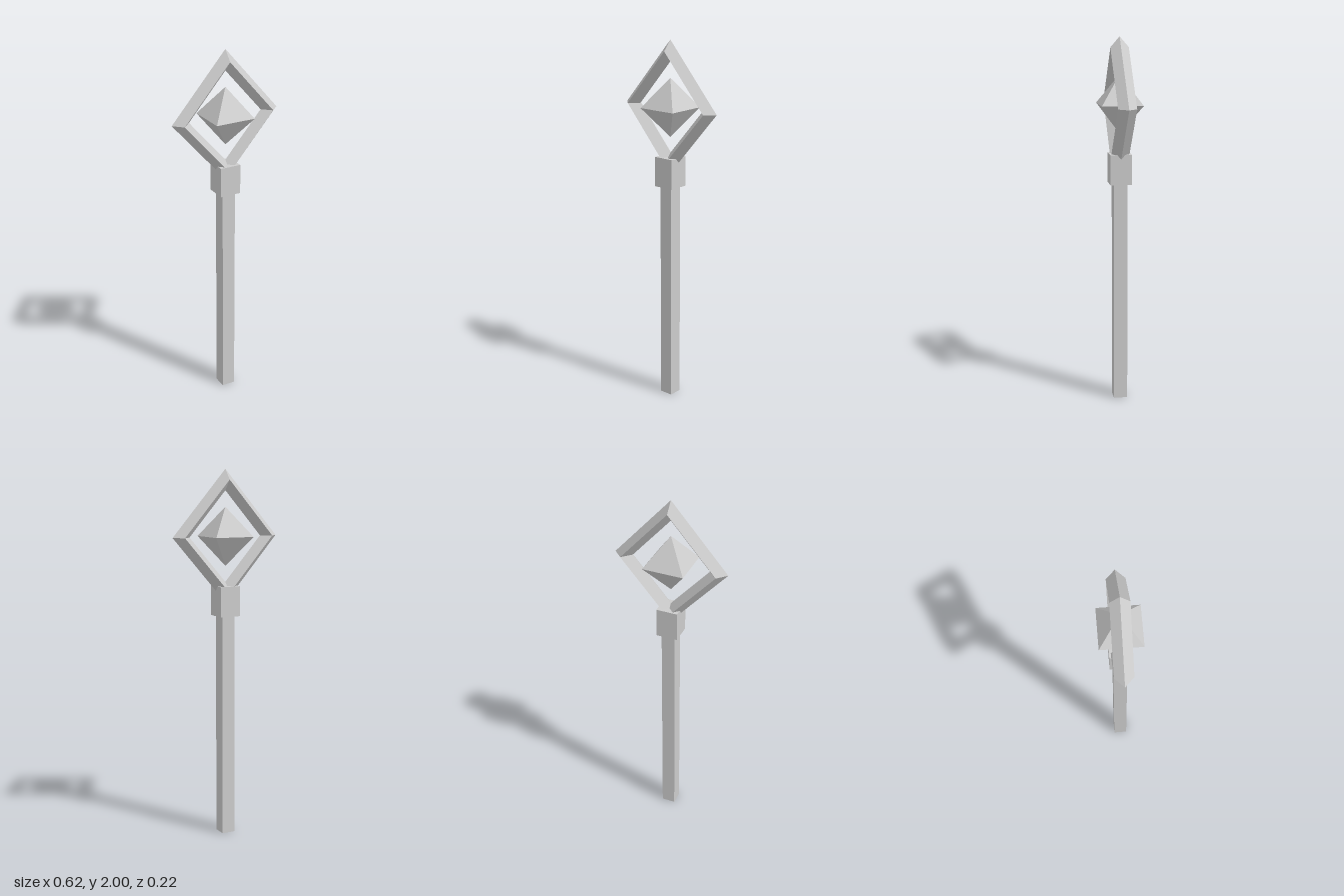
import * as THREE from 'three';

export function createModel() {
  const group = new THREE.Group();
  const paleGrey = new THREE.MeshStandardMaterial({ color: 0xcccccc });
  paleGrey.name = 'paleGrey';

  const add = (name, geometry, y) => {
    const mesh = new THREE.Mesh(geometry, paleGrey);
    mesh.name = name;
    mesh.position.y = y;
    group.add(mesh);
  };
  const headY = 1.645;

  // Square shaft and the collar that holds the head
  add('shaft', new THREE.BoxGeometry(0.075, 1.25, 0.075), 0.625);
  add('collar', new THREE.BoxGeometry(0.116, 0.162, 0.116), 1.3);

  // Diamond-shaped frame with a diamond cross-section, faceted
  const frame = new THREE.TorusGeometry(0.261, 0.049, 4, 4).toNonIndexed();
  frame.scale(1, 0.355 / 0.31, 1);
  frame.computeVertexNormals();
  add('frame', frame, headY);

  // Floating eight-sided crystal, its square girdle facing front
  const crystal = new THREE.OctahedronGeometry(1);
  crystal.rotateY(Math.PI / 4);
  crystal.scale(0.111 * Math.SQRT2, 0.157, 0.111 * Math.SQRT2);
  crystal.computeVertexNormals();
  add('crystal', crystal, headY);

  return group;
}
